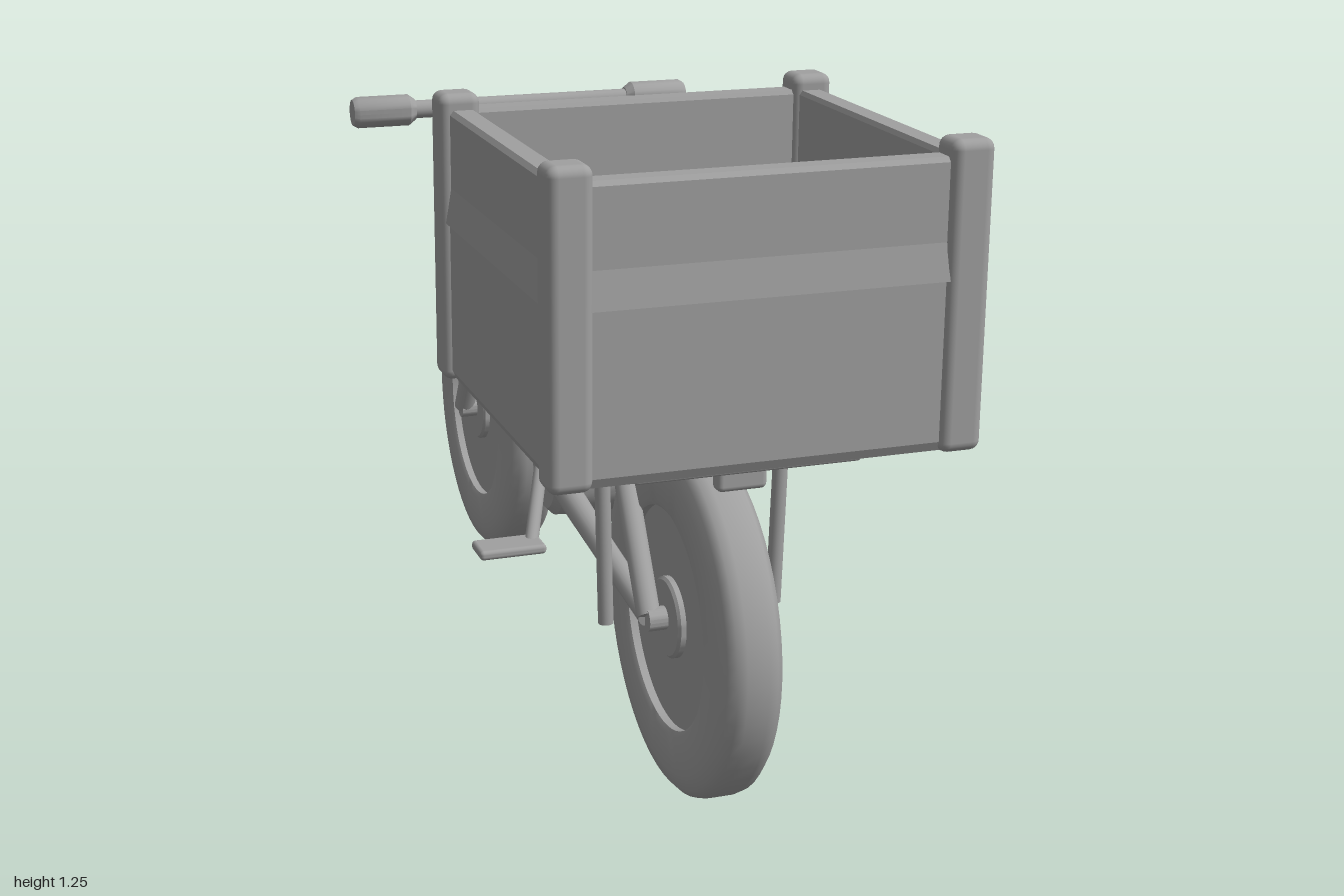
import * as THREE from 'three';
import { toCreasedNormals } from 'three/addons/utils/BufferGeometryUtils.js';
import { RoundedBoxGeometry } from 'three/addons/geometries/RoundedBoxGeometry.js';

export function createModel() {
  const model = new THREE.Group();
  model.name = 'cargoBike';
  const grey = new THREE.MeshStandardMaterial({ color: 0xa0a0a0 });
  grey.name = 'grey';

  const add = (name, geometry, parent = model) => {
    const mesh = new THREE.Mesh(geometry, grey);
    mesh.name = name;
    parent.add(mesh);
    return mesh;
  };
  // round bar between two points
  const bar = (name, a, b, r1, r2 = r1) => {
    const p = new THREE.Vector3(...a), q = new THREE.Vector3(...b);
    const dir = q.clone().sub(p);
    const mesh = add(name, new THREE.CylinderGeometry(r2, r1, dir.length(), 20));
    mesh.position.copy(p).lerp(q, 0.5);
    mesh.quaternion.setFromUnitVectors(new THREE.Vector3(0, 1, 0), dir.normalize());
    return mesh;
  };
  // rounded block
  const block = (name, w, h, d, x, y, z, r = 0.01, parent = model) => {
    const mesh = add(name, new RoundedBoxGeometry(w, h, d, 3, r), parent);
    mesh.position.set(x, y, z);
    return mesh;
  };
  // solid turned about the x axis, from [radius, x] points
  const turned = (name, pts, parent, segments = 56) => {
    const lathe = new THREE.LatheGeometry(pts.map(p => new THREE.Vector2(...p)), segments);
    const mesh = add(name, toCreasedNormals(lathe, 0.6), parent);
    mesh.rotation.z = -Math.PI / 2;
    return mesh;
  };

  // wheels: tyre, recessed disc and hub
  for (const [name, z] of [['rearWheel', 0.636], ['frontWheel', -0.666]]) {
    const wheel = new THREE.Group();
    wheel.name = name;
    wheel.position.set(0, 0.332, z);
    model.add(wheel);
    turned('tyre', [[0.206, -0.05], [0.215, -0.056], [0.285, -0.056], [0.312, -0.05], [0.326, -0.037],
      [0.33, -0.02], [0.33, 0.02], [0.326, 0.037], [0.312, 0.05], [0.285, 0.056], [0.215, 0.056],
      [0.206, 0.05], [0.206, -0.05]], wheel);
    turned('wheelDisc', [[0, -0.035], [0.21, -0.035], [0.21, 0.035], [0, 0.035]], wheel);
    turned('hub', [[0, -0.05], [0.07, -0.05], [0.075, -0.045], [0.075, 0.045], [0.07, 0.05], [0, 0.05]], wheel);
    turned('axle', [[0, -0.085], [0.022, -0.085], [0.022, 0.085], [0, 0.085]], wheel, 20);
  }

  // frame
  bar('topTube', [0, 0.875, 0.19], [0, 0.922, -0.48], 0.048);
  bar('seatTube', [0, 0.88, 0.18], [0, 0.42, 0.01], 0.045);
  bar('downTube', [0, 0.67, -0.51], [0, 0.41, -0.02], 0.042);
  bar('headTube', [0, 0.95, -0.475], [0, 0.69, -0.53], 0.042);
  for (const s of [-1, 1]) {
    bar('seatStay', [s * 0.045, 0.86, 0.19], [s * 0.078, 0.335, 0.63], 0.022);
    bar('chainStay', [s * 0.065, 0.395, 0.05], [s * 0.078, 0.335, 0.63], 0.028, 0.02);
    bar('forkLeg', [s * 0.055, 0.71, -0.5], [s * 0.075, 0.335, -0.668], 0.023);
    bar('rackStay', [s * 0.172, 0.7, 0.636], [s * 0.162, 0.337, 0.636], 0.014);
  }
  block('forkCrown', 0.15, 0.05, 0.08, 0, 0.69, -0.51, 0.015);
  block('frontFender', 0.12, 0.018, 0.38, 0, 0.708, -0.683, 0.008);

  // seat
  bar('seatPost', [0, 0.85, 0.175], [0, 1.0, 0.215], 0.026);
  block('saddle', 0.165, 0.072, 0.32, 0, 1.028, 0.19, 0.028);

  // steering
  bar('stem', [0, 0.93, -0.475], [0, 1.085, -0.432], 0.026);
  bar('handlebar', [-0.3, 1.085, -0.435], [0.3, 1.085, -0.435], 0.019);
  for (const s of [-1, 1]) {
    const grip = turned('grip', [[0, 0], [0.022, 0], [0.033, 0.015], [0.033, 0.125], [0.027, 0.135], [0, 0.135]], model, 24);
    grip.rotation.z = -s * Math.PI / 2;
    grip.position.set(s * 0.235, 1.085, -0.435);
  }
  bar('headlight', [0, 0.885, -0.535], [0, 0.875, -0.605], 0.05, 0.06);
  bar('headlightMount', [0, 0.89, -0.48], [0, 0.885, -0.54], 0.02);

  // motor, chain cover, cranks and pedals
  turned('motor', [[0, -0.085], [0.075, -0.085], [0.09, -0.07], [0.095, 0], [0.09, 0.085], [0, 0.085]]).position.set(0, 0.4, 0);
  turned('chainCover', [[0, 0.085], [0.168, 0.085], [0.172, 0.089], [0.172, 0.1], [0.168, 0.104], [0, 0.104]])
    .position.set(0, 0.4, 0);
  for (const s of [-1, 1]) {
    bar('crank', [s * 0.09, 0.405, s * 0.005], [s * 0.142, 0.287, -s * 0.1], 0.014);
    block('pedal', 0.138, 0.02, 0.074, s * 0.192, 0.289, -s * 0.112, 0.008);
  }

  // battery with side latch
  const battery = new THREE.Group();
  battery.name = 'battery';
  battery.position.set(0, 0.54, -0.25);
  battery.rotation.x = -0.5;
  model.add(battery);
  block('batteryCase', 0.14, 0.11, 0.44, 0, 0, 0, 0.03, battery);
  block('batteryLatch', 0.03, 0.036, 0.09, 0.07, 0, 0.088, 0.014, battery);

  // rear rack and tail light
  block('rack', 0.406, 0.03, 0.535, 0, 0.71, 0.638, 0.006);
  block('tailLight', 0.09, 0.05, 0.032, 0, 0.678, 0.86, 0.01);

  // crate
  const crate = new THREE.Group();
  crate.name = 'crate';
  crate.position.set(0, 0, 0.637);
  model.add(crate);
  const halfX = 0.363, halfZ = 0.35;
  const profile = new THREE.Shape([[-0.05, 0.735], [-0.008, 0.728], [0, 0.745], [0, 1.02], [0.007, 1.022],
    [-0.003, 1.086], [-0.003, 1.218], [-0.01, 1.226], [-0.045, 1.226], [-0.05, 1.218]]
    .map(p => new THREE.Vector2(...p)));
  for (let i = 0; i < 4; i++) {
    const [out, half] = i % 2 ? [halfZ, halfX] : [halfX, halfZ];
    const length = 2 * half - 0.04;
    const wall = add('crateWall', new THREE.ExtrudeGeometry(profile, { depth: length, bevelEnabled: false })
      .translate(out, 0, -length / 2), crate);
    wall.rotation.y = i * Math.PI / 2;
  }
  block('crateFloor', 2 * halfX - 0.04, 0.03, 2 * halfZ - 0.04, 0, 0.745, 0, 0.004, crate);
  for (const sx of [-1, 1]) for (const sz of [-1, 1]) {
    block('cratePost', 0.076, 0.53, 0.072, sx * 0.34, 0.99, sz * 0.326, 0.018, crate);
  }
  return model;
}
